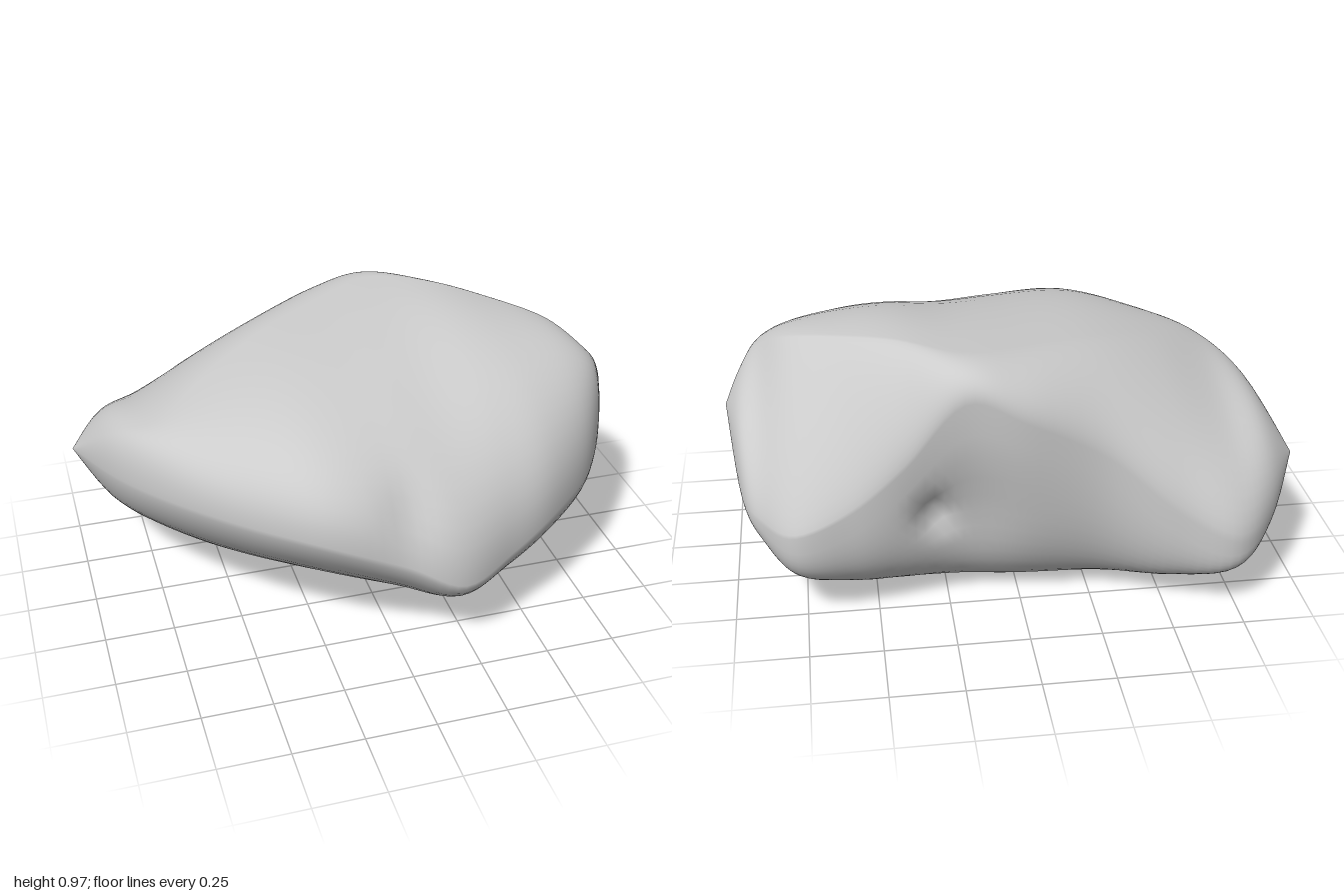
import * as THREE from 'three';

// Cross-sections along x: x, the front, back, top and bottom extreme points,
// then the roundness of the upper back and lower back
const SECTIONS = [
  // x, frontZ, frontY, backZ, backY, topY, topZ, bottomY, bottomZ, upperBack, lowerBack
  [-1, -0.36, 0.45, -0.36, 0.45, 0.45, -0.36, 0.45, -0.36, 2, 2],
  [-0.88, 0, 0.52, -0.575, 0.34, 0.65, -0.12, 0.24, -0.4, 1.9, 2.5],
  [-0.73, 0.25, 0.55, -0.705, 0.3, 0.75, 0.04, 0.145, -0.38, 1.75, 4.2],
  [-0.52, 0.465, 0.55, -0.668, 0.41, 0.835, -0.1, 0.07, -0.34, 1.8, 3.4],
  [-0.28, 0.635, 0.53, -0.612, 0.61, 0.9, -0.25, 0.028, -0.3, 1.9, 2.5],
  [0, 0.685, 0.42, -0.635, 0.77, 0.94, -0.4, 0.004, -0.26, 2.1, 2.2],
  [0.2, 0.705, 0.32, -0.615, 0.84, 0.962, -0.46, 0.008, -0.22, 2.2, 2.4],
  [0.4, 0.62, 0.36, -0.61, 0.61, 0.968, -0.34, 0.03, -0.2, 1.6, 2.6],
  [0.58, 0.53, 0.42, -0.61, 0.46, 0.94, -0.22, 0.066, -0.18, 1.35, 3],
  [0.77, 0.38, 0.46, -0.61, 0.38, 0.89, -0.08, 0.14, -0.17, 1.25, 3.4],
  [0.88, 0.23, 0.5, -0.505, 0.38, 0.81, 0.05, 0.24, -0.16, 1.4, 3],
  [0.95, 0.08, 0.53, -0.38, 0.43, 0.72, 0, 0.37, -0.14, 1.6, 2.4],
  [1, -0.05, 0.62, -0.05, 0.62, 0.62, -0.05, 0.62, -0.05, 1.8, 2],
];

// Hollows in the surface: centre, radii and push along z
const DENTS = [
  { c: [0.3, 0.4, -0.57], r: [0.06, 0.06, 0.25], push: 0.06 },
  { c: [0.22, 0.42, -0.57], r: [0.24, 0.2, 0.25], push: 0.04 },
  { c: [0.02, 0.6, 0.62], r: [0.09, 0.13, 0.2], push: -0.03 },
];

// Smooth blend of the section table at fraction t
function sectionAt(t) {
  const last = SECTIONS.length - 1;
  const f = t * last;
  const i = Math.min(Math.floor(f), last - 1);
  const u = f - i;
  const row = (k) => SECTIONS[THREE.MathUtils.clamp(k, 0, last)];
  return SECTIONS[0].map((_, c) => {
    const [p0, p1, p2, p3] = [row(i - 1)[c], row(i)[c], row(i + 1)[c], row(i + 2)[c]];
    const m1 = (p2 - p0) / 2, m2 = (p3 - p1) / 2;
    return p1 + u * (m1 + u * (3 * (p2 - p1) - 2 * m1 - m2 + u * (2 * (p1 - p2) + m1 + m2)));
  });
}

// Point of a section: each quadrant is a superellipse arc between two extremes
function ringPoint([x, fz, fy, bz, by, ty, tz, dy, dz, upperBack, lowerBack], angle) {
  const c = Math.cos(angle), s = Math.sin(angle);
  const front = c >= 0, up = s >= 0;
  // The front is flatter below on one side and rounder above on the other
  const side = THREE.MathUtils.smoothstep(x, -0.4, 0.35);
  const upperFront = 2.45 - 0.3 * side, lowerFront = 1.48 + 0.27 * side;
  const n = up ? (front ? upperFront : upperBack) : (front ? lowerFront : lowerBack);
  const a = Math.abs(c) ** (2 / n), b = Math.abs(s) ** (2 / n);
  const [ez, ey] = front ? [fz, fy] : [bz, by];
  const [py, pz] = up ? [ty, tz] : [dy, dz];
  const p = [x, ey + (py - ey) * b, pz + (ez - pz) * a];
  const shift = DENTS.map((d) => {
    const q = p.reduce((sum, v, k) => sum + ((v - d.c[k]) / d.r[k]) ** 2, 0);
    return d.push * Math.exp(-q);
  });
  p[2] += shift.reduce((sum, v) => sum + v, 0);
  return p;
}

function boulderGeometry(rings = 72, sides = 64) {
  const position = [], index = [];
  for (let i = 0; i <= rings; i++) {
    const section = sectionAt(i / rings);
    for (let j = 0; j < sides; j++) {
      position.push(...ringPoint(section, (j / sides) * Math.PI * 2));
      if (i === rings) continue;
      const a = i * sides + j, c = i * sides + ((j + 1) % sides);
      index.push(a, a + sides, c, c, a + sides, c + sides);
    }
  }
  const geometry = new THREE.BufferGeometry();
  geometry.setAttribute('position', new THREE.Float32BufferAttribute(position, 3));
  geometry.setIndex(index);
  geometry.computeVertexNormals();
  return geometry;
}

export function createModel() {
  const model = new THREE.Group();
  model.name = 'rock';
  const boulder = new THREE.Mesh(
    boulderGeometry(),
    new THREE.MeshStandardMaterial({ color: 0xcccccc })
  );
  boulder.name = 'boulder';
  model.add(boulder);
  return model;
}
